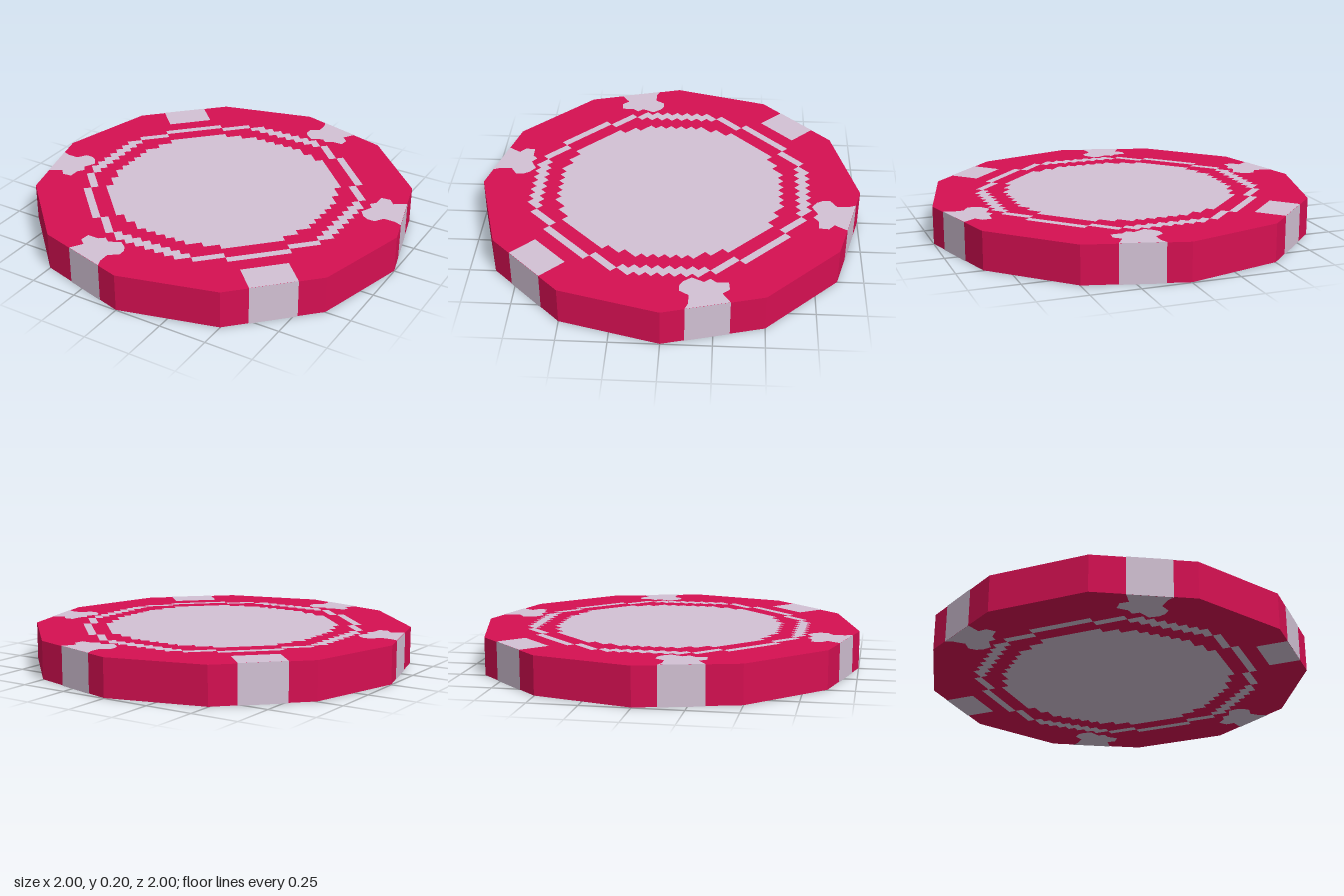
import * as THREE from 'three';
import { mergeGeometries } from 'three/addons/utils/BufferGeometryUtils.js';

const HEIGHT = 0.2;
const CELL = Math.cos(Math.PI / 12) / 24; // size of one inlay tile

// Flat rectangle in the horizontal plane, given in tiles
function tileRect(x0, x1, z0, z1) {
  const g = new THREE.PlaneGeometry((x1 - x0) * CELL, (z1 - z0) * CELL);
  g.rotateX(-Math.PI / 2);
  g.translate(((x0 + x1) / 2) * CELL, 0, ((z0 + z1) / 2) * CELL);
  return g;
}

// Stepped centre disc: half width of each row of tiles
function discGeometry() {
  const widths = [15, 15, 15, 15, 14, 14, 13, 13, 12, 11, 10, 9, 8, 6, 4];
  const rows = [];
  widths.forEach((w, j) => {
    rows.push(tileRect(-w, w, j, j + 1), tileRect(-w, w, -j - 1, -j));
  });
  return mergeGeometries(rows).rotateY(Math.PI / 4);
}

// Thin stepped ring: runs of tiles for one octant, mirrored around
function ringGeometry() {
  const runs = [[18, 0, 4], [17, 4, 8], [16, 8, 10], [15, 9, 11], [14, 10, 12], [13, 11, 13]];
  const parts = [];
  for (const [row, a, b] of runs) {
    for (const sx of [-1, 1]) {
      const [x0, x1] = sx > 0 ? [a, b] : [-b, -a];
      for (const z0 of [row - 1, -row]) {
        parts.push(tileRect(x0, x1, z0, z0 + 1), tileRect(z0, z0 + 1, x0, x1));
      }
    }
  }
  return mergeGeometries(parts).rotateY(Math.PI / 4);
}

// Flat patch from [x, z] points
function patchGeometry(points) {
  const shape = new THREE.Shape(points.map(([x, z]) => new THREE.Vector2(x, -z)));
  return new THREE.ShapeGeometry(shape).rotateX(-Math.PI / 2);
}

// Upright strip on the rim between two [x, z] points
function rimGeometry([ax, az], [bx, bz]) {
  const k = 1.001;
  const g = new THREE.PlaneGeometry(Math.hypot(bx - ax, bz - az), HEIGHT);
  g.rotateY(Math.atan2(ax + bx, az + bz));
  // align exactly with the flat rim face
  const p = g.attributes.position;
  for (let i = 0; i < 4; i++) {
    const [x, z] = i % 2 ? [ax, az] : [bx, bz];
    p.setXYZ(i, x * k, i < 2 ? HEIGHT : 0, z * k);
  }
  g.computeVertexNormals();
  return g;
}

export function createModel() {
  const red = new THREE.MeshStandardMaterial({ color: 0xd61052 });
  red.name = 'crimson';
  red.flatShading = true;
  const pale = new THREE.MeshStandardMaterial({ color: 0xd3c2d5 });
  pale.name = 'paleLilac';

  const model = new THREE.Group();
  model.name = 'gamingChip';
  const add = (name, geometry, material, y = 0) => {
    const mesh = new THREE.Mesh(geometry, material);
    mesh.name = name;
    mesh.position.y = y;
    model.add(mesh);
    return mesh;
  };

  // Twelve-sided body
  add('body', new THREE.CylinderGeometry(1, 1, HEIGHT - 0.004, 12), red, HEIGHT / 2);

  // Rim patches: a slanted stepped one and a square one, repeated by symmetry
  const slanted = [
    [0.115, -0.969], [0.33, -0.912], [0.29, -0.85], [0.325, -0.82], [0.32, -0.77],
    [0.26, -0.77], [0.23, -0.745], [0.2, -0.77], [0.14, -0.74], [0.1, -0.77],
    [0.083, -0.8], [0.083, -0.84], [0.13, -0.87], [0.13, -0.93],
  ];
  const square = [[0.598, 0.768], [0.768, 0.598], [0.654, 0.484], [0.484, 0.654]];
  const swap = (pts) => pts.map(([x, z]) => [-z, -x]);
  const turn = (pts) => pts.map(([x, z]) => [-x, -z]);
  const patches = [slanted, swap(slanted), square].flatMap((p) => [p, turn(p)]);

  // Same inlay on the top and bottom faces
  const inlays = {
    Disc: discGeometry(),
    Ring: ringGeometry(),
    Patches: mergeGeometries(patches.map(patchGeometry)),
  };
  for (const [name, geometry] of Object.entries(inlays)) {
    add('top' + name, geometry, pale, HEIGHT);
    // underside keeps x and z, with the winding reversed to face down
    const under = geometry.clone();
    under.setIndex([...geometry.index.array].reverse());
    const n = under.attributes.normal;
    for (let i = 0; i < n.count; i++) n.setXYZ(i, 0, -1, 0);
    add('bottom' + name, under, pale, 0);
  }

  // Rim strips continue the patches down the sides
  for (const p of patches) {
    const [a, b] = p;
    const clockwise = a[0] * b[1] - a[1] * b[0] > 0;
    add('rimStrip', clockwise ? rimGeometry(a, b) : rimGeometry(b, a), pale);
  }
  return model;
}
